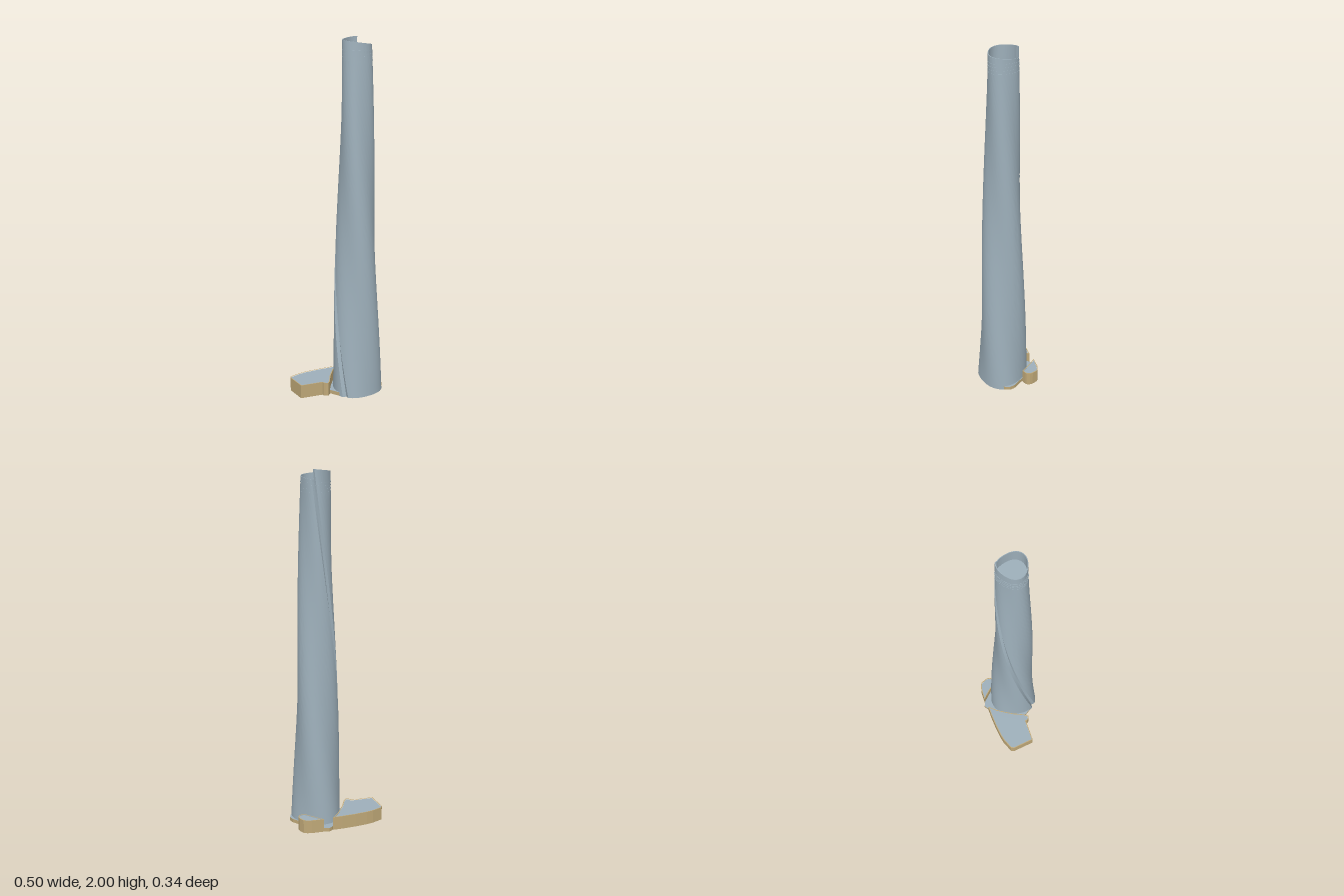
import * as THREE from 'three';
import { toCreasedNormals } from 'three/addons/utils/BufferGeometryUtils.js';

const CX = 0.09, CZ = 0.035, SIDES = 80, ROOF_Y = 1.87;

// Positions round the section: 0 and 1 are the groove, the rest the skin between its lips
const around = [0];
for (let i = 0; i <= SIDES; i++) around.push(0.018 + (0.964 * i) / SIDES);
around.push(1);

// One point of the tapering, twisting, rounded-triangle section
function towerPoint(u, y, scale) {
  const turn = THREE.MathUtils.degToRad(145 + 79.5 * y);
  const a = u * Math.PI * 2;
  const groove = u === 0 || u === 1 ? 0.9 : 1;
  const r = 0.141 * Math.exp(-0.3 * y) * (1 + 0.06 * Math.cos(3 * a)) * groove * scale;
  return [CX + r * Math.cos(turn + a), y, CZ + r * Math.sin(turn + a)];
}

// The rim climbs once round the tower and drops at the groove
const rimHeight = (u) => 1.945 + 0.055 * u;

// Skin through rows of [height or height function, scale]
function towerSkin(rows) {
  const pos = [], index = [], n = around.length;
  for (const [y, scale] of rows) {
    for (const u of around) pos.push(...towerPoint(u, typeof y === 'function' ? y(u) : y, scale));
  }
  for (let j = 0; j < rows.length - 1; j++) {
    for (let i = 0; i < n; i++) {
      const a = j * n + i, d = j * n + ((i + 1) % n);
      index.push(a, a + n, d + n, a, d + n, d);
    }
  }
  const geo = new THREE.BufferGeometry();
  geo.setAttribute('position', new THREE.Float32BufferAttribute(pos, 3));
  geo.setIndex(index);
  return toCreasedNormals(geo, 0.5);
}

// Plan outlines as [x, z]
const westWing = [
  [-0.25, -0.003], [-0.245, -0.133], [-0.235, -0.15], [-0.17, -0.167], [-0.13, -0.17],
  [-0.06, -0.168], [0.02, -0.161], [0.075, -0.153], [0.03, -0.115], [0, -0.08],
  [-0.04, -0.032], [-0.06, 0], [-0.078, 0.026], [-0.099, 0.047], [-0.112, 0.041],
  [-0.12, 0.03], [-0.122, 0.017], [-0.2, 0.005],
];
const eastWing = [
  [0.13, -0.152], [0.2, -0.14], [0.225, -0.13], [0.24, -0.118], [0.25, -0.085], [0.25, -0.068],
  [0.243, -0.052], [0.233, -0.046], [0.205, -0.04], [0.17, -0.095], [0.15, -0.125],
];
const plinthPlan = [
  [0.105, -0.166], [0.13, -0.15], [0.165, -0.1], [0.2, -0.045], [0.244, 0.03], [0.248, 0.06],
  [0.236, 0.085], [0.19, 0.115], [0.09, 0.13], [-0.01, 0.11], [-0.05, 0.082], [-0.076, 0.025],
  [-0.05, -0.015], [0, -0.075], [0.04, -0.118], [0.085, -0.157],
];

// Moves every side of an outline inwards (outlines run clockwise seen from above)
function inset(plan, d) {
  const n = plan.length;
  return plan.map((p, i) => {
    const a = plan[(i + n - 1) % n], b = plan[(i + 1) % n];
    const unit = (s, t) => {
      const l = Math.hypot(t[0] - s[0], t[1] - s[1]);
      return [-(t[1] - s[1]) / l, (t[0] - s[0]) / l];
    };
    const m = unit(a, p), k = unit(p, b);
    const f = d / Math.max(0.4, 1 + m[0] * k[0] + m[1] * k[1]);
    return [p[0] + (m[0] + k[0]) * f, p[1] + (m[1] + k[1]) * f];
  });
}

// Upright prism over a plan, with an optional hole
function prism(plan, y0, y1, hole) {
  const points = (p) => p.map(([x, z]) => new THREE.Vector2(x, -z));
  const shape = new THREE.Shape(points(plan));
  if (hole) shape.holes.push(new THREE.Path(points(hole)));
  const geo = new THREE.ExtrudeGeometry(shape, { depth: y1 - y0, bevelEnabled: false });
  return geo.rotateX(-Math.PI / 2).translate(0, y0, 0);
}

export function createModel() {
  const model = new THREE.Group();
  const glass = new THREE.MeshStandardMaterial({ color: 0x9dafba });
  glass.name = 'blueGreyGlass';
  const stone = new THREE.MeshStandardMaterial({ color: 0xbfa878 });
  stone.name = 'tanStone';
  const add = (name, geo, mat) => {
    const mesh = new THREE.Mesh(geo, mat);
    mesh.name = name;
    model.add(mesh);
  };

  // Tower: base, twisting skin, sloping open rim, inner wall and sunken roof
  const rows = [[0, 0], [0, 1]];
  for (let i = 1; i <= 48; i++) rows.push([(ROOF_Y * i) / 48, 1]);
  rows.push([rimHeight, 1], [rimHeight, 0.95], [ROOF_Y, 0.95], [ROOF_Y, 0]);
  add('tower', towerSkin(rows), glass);

  // Fine rings below the rim
  for (let i = 0; i < 4; i++) {
    const y = 1.875 + i * 0.017;
    add('crownRing' + (i + 1),
      towerSkin([[y, 0.98], [y, 1.012], [y + 0.005, 1.012], [y + 0.005, 0.98]]), glass);
  }

  // Two podium wings: stone walls round a slightly sunken deck
  for (const [name, plan] of [['westWing', westWing], ['eastWing', eastWing]]) {
    const inner = inset(plan, 0.005);
    add(name + 'Walls', prism(plan, 0, 0.076, inner), stone);
    add(name + 'Deck', prism(inner, 0, 0.073), glass);
  }

  // Low plinth under the tower: glass top and bottom, stone sides
  add('plinth', prism(plinthPlan, 0.001, 0.022), [glass, stone]);
  return model;
}
